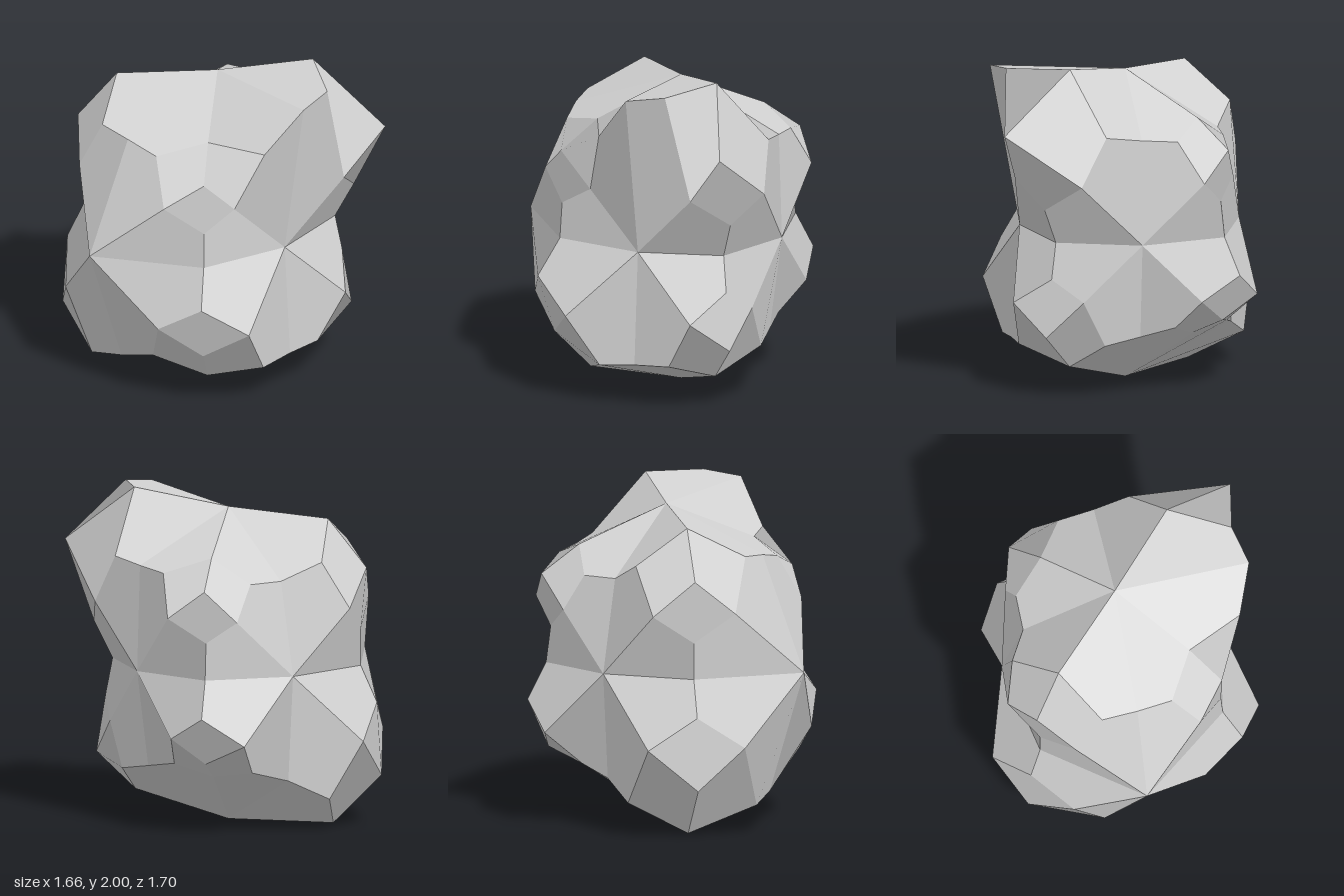
import * as THREE from 'three';

// Centre of the boulder; every vertex is placed relative to it.
const CENTRE = new THREE.Vector3(0, 0.96, -0.14);

// Distances of the six axis vertices: [positive, negative] for x, y, z.
const AXIS = [[0.64, 0.69], [0.94, 0.955], [0.985, 0.66]];

// Ridge vertices halfway between two axes, indexed by the axis that is zero;
// order of signs of the other two axes: ++, -+, +-, --.
const RIDGE = [
  [0.69, 0.74, 0.64, 0.58],
  [0.55, 0.57, 0.5, 0.52],
  [[0.82, 0.99, 0], 0.56, 0.69, 0.64],
];

// Per octant: signs, facet points near each axis, points beside each ridge, corner.
// A triple replaces a distance where the horn is pulled out.
const OCTANTS = [
  { sign: [1, 1, 1], facet: [0.58, 0.72, 0.72], side: [0.65, 0.54, 0.72], corner: 0.545 },
  { sign: [-1, 1, 1], facet: [0.73, 0.885, 0.75], side: [0.71, 0.57, 0.67], corner: 0.595 },
  { sign: [1, -1, 1], facet: [0.8, 0.82, 0.78], side: [0.675, 0.65, 0.71], corner: 0.575 },
  { sign: [-1, -1, 1], facet: [0.83, 0.96, 0.835], side: [0.79, 0.64, 0.755], corner: 0.66 },
  { sign: [1, 1, -1], facet: [0.73, [0.4, 1.04, -0.41], 0.71], side: [0.67, 0.58, [0.76, 1.02, -0.23]], corner: [0.83, 0.69, -0.62] },
  { sign: [-1, 1, -1], facet: [0.6, 0.71, 0.69], side: [0.62, 0.5, 0.56], corner: 0.54 },
  { sign: [1, -1, -1], facet: [0.74, 0.79, 0.62], side: [0.62, 0.53, 0.68], corner: 0.57 },
  { sign: [-1, -1, -1], facet: [0.74, 0.62, 0.66], side: [0.54, 0.6, 0.58], corner: 0.51 },
];

// Offset with one special axis and an equal amount on the other two.
function place(value, sign, axis, special, others) {
  if (Array.isArray(value)) return new THREE.Vector3(...value);
  return new THREE.Vector3(...sign.map((s, i) => s * (i === axis ? special : others)));
}

function boulderGeometry() {
  const positions = [];
  const normals = [];

  // Adds a four-sided facet with one shared normal, turned away from the centre
  // and split from a to c.
  function facetQuad(a, b, c, d) {
    const normal = c.clone().sub(a).cross(d.clone().sub(b)).normalize();
    const outward = normal.dot(a) > 0;
    if (!outward) normal.negate();
    for (const p of outward ? [a, b, c, a, c, d] : [a, c, b, a, d, c]) {
      positions.push(...p.clone().add(CENTRE));
      normals.push(...normal);
    }
  }

  for (const { sign, facet, side, corner } of OCTANTS) {
    const axisPts = AXIS.map((d, i) => place(null, sign, i, d[sign[i] > 0 ? 0 : 1], 0));
    const facetPts = facet.map((d, i) => place(d, sign, i, d, 0.38 + 0.3 * (d - 0.72)));
    const sidePts = side.map((d, i) => place(d, sign, i, 0.22, d));
    const ridgePts = RIDGE.map((row, i) => {
      const [u, v] = [0, 1, 2].filter((n) => n !== i);
      const d = row[(sign[u] < 0 ? 1 : 0) + (sign[v] < 0 ? 2 : 0)];
      return place(d, sign, i, 0, d);
    });
    const cornerPt = place(corner, sign, 0, corner, corner);

    // Two facets fan from the axes to each ridge, one joins the ridge to the corner.
    for (let k = 0; k < 3; k++) {
      const i = (k + 1) % 3;
      const j = (k + 2) % 3;
      facetQuad(axisPts[i], facetPts[i], sidePts[k], ridgePts[k]);
      facetQuad(axisPts[j], facetPts[j], sidePts[k], ridgePts[k]);
      facetQuad(cornerPt, facetPts[i], sidePts[k], facetPts[j]);
    }
  }

  const geometry = new THREE.BufferGeometry();
  geometry.setAttribute('position', new THREE.Float32BufferAttribute(positions, 3));
  geometry.setAttribute('normal', new THREE.Float32BufferAttribute(normals, 3));
  return geometry;
}

export function createModel() {
  const stone = new THREE.MeshStandardMaterial({ color: 0xd2d2d2 });
  stone.name = 'pale stone grey';

  const boulder = new THREE.Mesh(boulderGeometry(), stone);
  boulder.name = 'boulder';

  const model = new THREE.Group();
  model.name = 'rock';
  model.add(boulder);
  return model;
}
